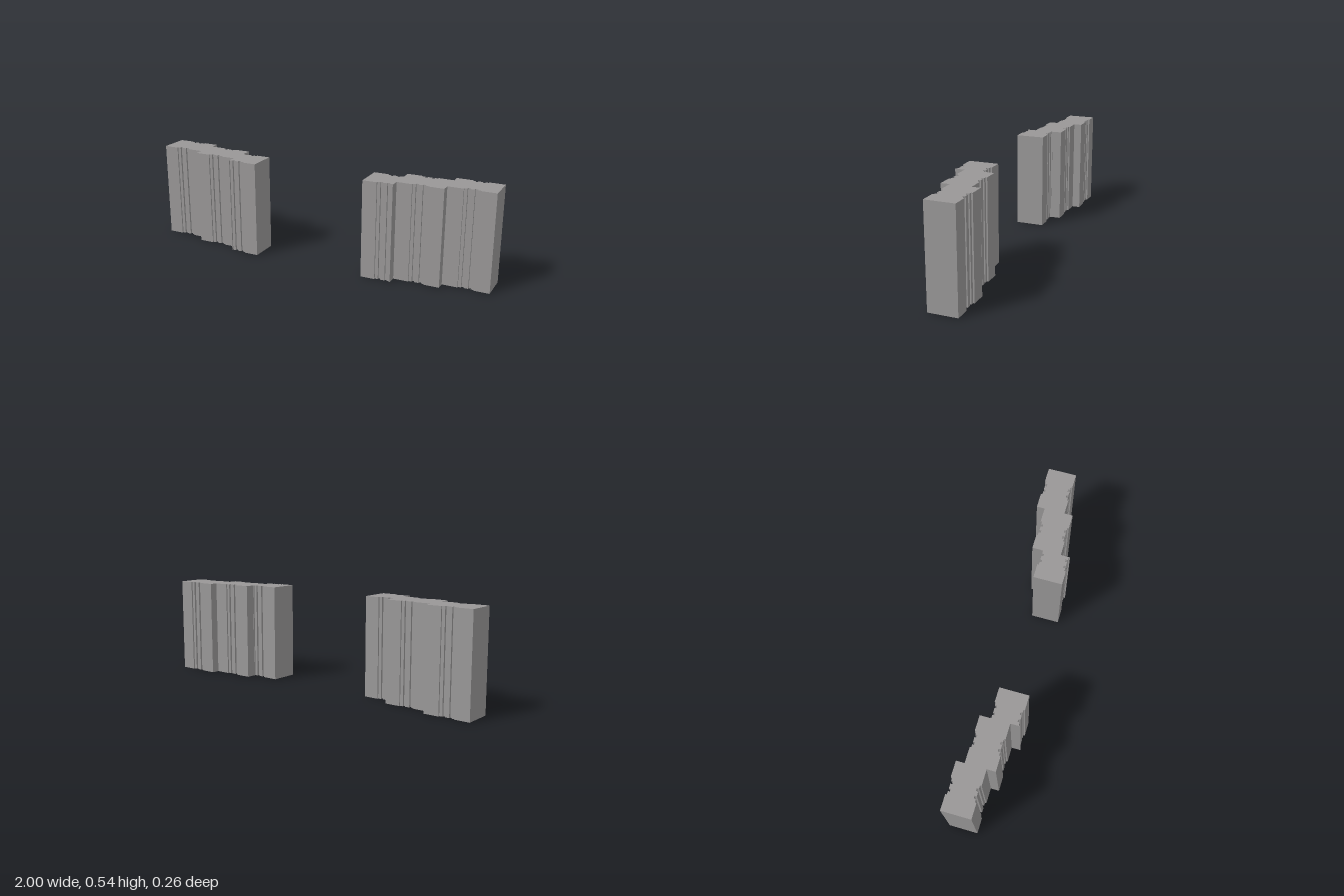
import * as THREE from 'three';

const HEIGHT = 0.54;
const concrete = new THREE.MeshStandardMaterial({ color: 0x999797, side: THREE.DoubleSide });
concrete.name = 'grey concrete';

// Balcony recess: [offset from its centre, depth into the facade]
const recess = [
  [-0.043, 0], [-0.043, 0.008], [-0.026, 0.008], [-0.026, 0.019], [-0.012, 0.019], [-0.012, 0.008],
  [0.012, 0.008], [0.012, 0.019], [0.026, 0.019], [0.026, 0.008], [0.043, 0.008], [0.043, 0],
];

// Sections from the inner end of a block to its outer end
const sections = [
  { name: 'innerSection', x0: 0.323, x1: 0.491, z0: -0.031, z1: 0.129, centre: 0.446 },
  { name: 'middleSection', x0: 0.491, x1: 0.745, z0: -0.084, z1: 0.077, centre: 0.618 },
  { name: 'outerSection', x0: 0.745, x1: 1, z0: -0.129, z1: 0.03, centre: 0.873 },
];

// Plan outline with the recess on both long facades
function outline({ x0, x1, z0, z1, centre }, side) {
  const front = recess.map(([x, d]) => [centre + x, z1 - d]);
  const back = recess.map(([x, d]) => [centre + x, z0 + d]).reverse();
  const pts = [[x0, z1], ...front, [x1, z1], [x1, z0], ...back, [x0, z0]];
  const mirrored = pts.map(([x, z]) => new THREE.Vector2(side * x, -z));
  return side < 0 ? mirrored.reverse() : mirrored;
}

// Walls without a floor, one flat quad for each edge of the outline
function wallGeometry(points) {
  const positions = [];
  points.forEach((a, i) => {
    const b = points[(i + 1) % points.length];
    const quad = [[a, 0], [b, 0], [b, HEIGHT], [a, 0], [b, HEIGHT], [a, HEIGHT]];
    for (const [p, y] of quad) positions.push(p.x, y, -p.y);
  });
  const geometry = new THREE.BufferGeometry();
  geometry.setAttribute('position', new THREE.Float32BufferAttribute(positions, 3));
  geometry.computeVertexNormals();
  // Turn the walls outward whichever way the outline runs
  if (THREE.ShapeUtils.isClockWise(points)) {
    geometry.scale(1, 1, 1);
    const p = geometry.attributes.position;
    for (let i = 0; i < p.count; i += 3) {
      const a = new THREE.Vector3().fromBufferAttribute(p, i);
      const b = new THREE.Vector3().fromBufferAttribute(p, i + 1);
      p.setXYZ(i, b.x, b.y, b.z);
      p.setXYZ(i + 1, a.x, a.y, a.z);
    }
    geometry.computeVertexNormals();
  }
  return geometry;
}

function buildSection(section, side) {
  const group = new THREE.Group();
  group.name = section.name;
  const points = outline(section, side);
  const walls = new THREE.Mesh(wallGeometry(points), concrete);
  walls.name = 'walls';
  const roof = new THREE.Mesh(new THREE.ShapeGeometry(new THREE.Shape(points)), concrete);
  roof.name = 'roof';
  roof.rotation.x = -Math.PI / 2;
  roof.position.y = HEIGHT;
  group.add(walls, roof);
  return group;
}

export function createModel() {
  const model = new THREE.Group();
  model.name = 'apartmentBlocks';
  for (const side of [-1, 1]) {
    const block = new THREE.Group();
    block.name = side > 0 ? 'leftBlock' : 'rightBlock';
    for (const section of sections) block.add(buildSection(section, side));
    model.add(block);
  }
  return model;
}
